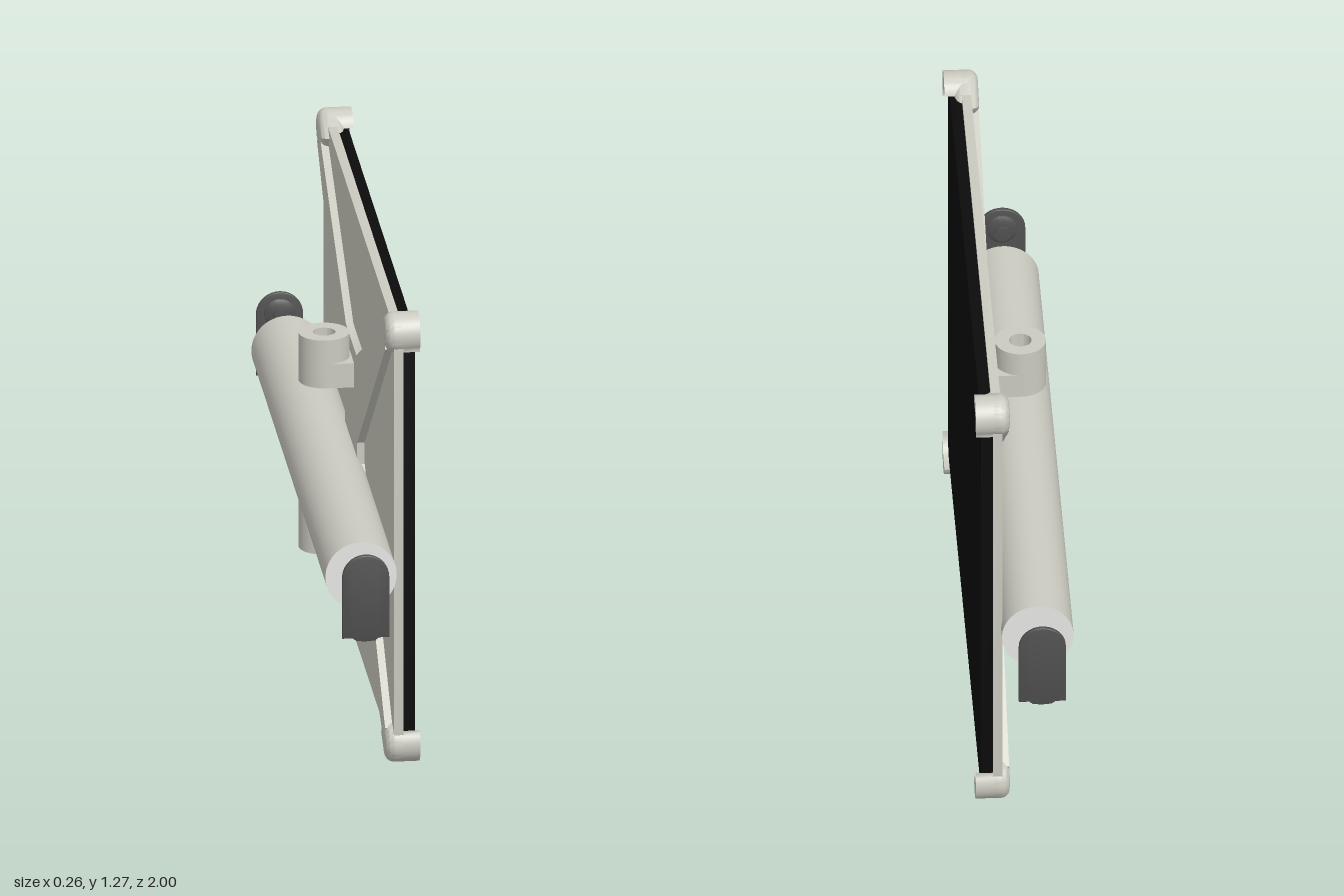
import * as THREE from 'three';
import { toCreasedNormals } from 'three/addons/utils/BufferGeometryUtils.js';

const mat = (name, color, side = THREE.FrontSide) => {
  const m = new THREE.MeshStandardMaterial({ color, side });
  m.name = name;
  return m;
};
const cream = mat('cream plastic', 0xcacac0);
const black = mat('black glass', 0x0b0b0b);
const dark = mat('dark grey', 0x505050);
const white = mat('white cap', 0xf6f6f4);

const CY = 0.65, CZ = -0.01; // middle of the tablet
const TX = -0.037; // axis of the tube and bosses

const add = (parent, name, geo, material) => {
  const m = new THREE.Mesh(geo, material);
  m.name = name;
  parent.add(m);
  return m;
};

const extrude = (shape, depth, bevel = 0) => toCreasedNormals(new THREE.ExtrudeGeometry(shape, {
  depth: depth - 2 * bevel, curveSegments: 20, bevelEnabled: bevel > 0,
  bevelSize: bevel, bevelThickness: bevel, bevelOffset: -bevel, bevelSegments: 6,
}).translate(0, 0, bevel), 0.6);

// Extrudes an upright outline along x, from x0 to x1
const slab = (shape, x0, x1, bevel = 0) =>
  extrude(shape, x1 - x0, bevel).rotateY(Math.PI / 2).translate(x0, CY, CZ);

const polygon = (pts) => new THREE.Shape(pts.map(([u, v]) => new THREE.Vector2(u, v)));

const arc = (cx, cy, r, a0, a1, n = 20) => Array.from({ length: n + 1 }, (_, i) => {
  const a = THREE.MathUtils.degToRad(a0 + (a1 - a0) * i / n);
  return [cx + r * Math.cos(a), cy + r * Math.sin(a)];
});

const roundedRect = (w, h, r) => polygon([
  ...arc(w - r, h - r, r, 0, 90, 10), ...arc(r - w, h - r, r, 90, 180, 10),
  ...arc(r - w, r - h, r, 180, 270, 10), ...arc(w - r, r - h, r, 270, 360, 10),
]);

function createTablet() {
  const g = new THREE.Group();
  g.name = 'tabletHolder';
  add(g, 'backPlate', slab(roundedRect(0.815, 0.605, 0.065), 0.055, 0.08), cream);
  add(g, 'screen', slab(roundedRect(0.812, 0.593, 0.06), 0.08, 0.111), black);

  // Raised cross on the back, wide at the hub and narrow at the corners
  const q = [[0.14, 0.03], [0.785, 0.535], [0.755, 0.59], [0.12, 0.27]];
  const flip = (pts, su, sv) => pts.map(([u, v]) => [u * su, v * sv]);
  const r = [...q].reverse();
  add(g, 'backCross', slab(polygon([
    ...q, ...flip(r, -1, 1), ...flip(q, -1, -1), ...flip(r, 1, -1),
  ]), 0.035, 0.06), cream);

  // Corner clips: rounded backing and a crescent wall round the tablet corner
  const backing = [...arc(0.77, 0.578, 0.055, -60, 110), [0.67, 0.585], [0.7, 0.54], [0.75, 0.52]];
  const wall = [...arc(0.77, 0.578, 0.055, -40, 162), ...arc(0.752, 0.535, 0.06, 90, 0, 10)];
  for (const su of [-1, 1]) for (const sv of [-1, 1]) {
    const clip = new THREE.Group();
    clip.name = 'cornerClip';
    add(clip, 'clipBacking', slab(polygon(flip(backing, su, sv)), 0.034, 0.1, 0.025), cream);
    add(clip, 'clipWall', slab(polygon(flip(wall, su, sv)), 0.06, 0.125), cream);
    g.add(clip);
  }
  return g;
}

// Round boss with a bore; half its height is squared off towards the plate
function createBoss(y0, blockY) {
  const g = new THREE.Group();
  g.name = 'mountBoss';
  const ring = new THREE.Shape().absarc(0, 0, 0.068, 0, Math.PI * 2);
  ring.holes.push(new THREE.Path().absarc(0, 0, 0.03, 0, Math.PI * 2, true));
  add(g, 'bossRing', extrude(ring, 0.135).rotateX(-Math.PI / 2).translate(TX, y0, CZ), cream);

  const block = new THREE.Shape();
  block.moveTo(0, -0.068);
  block.lineTo(0.075, -0.068);
  block.lineTo(0.075, 0.068);
  block.lineTo(0, 0.068);
  block.absarc(0, 0, 0.068, Math.PI / 2, -Math.PI / 2, true);
  add(g, 'bossBlock', extrude(block, 0.068).rotateX(-Math.PI / 2).translate(TX, blockY, CZ), cream);
  return g;
}

function createTube() {
  const g = new THREE.Group();
  g.name = 'tube';
  add(g, 'tubeWall', new THREE.CylinderGeometry(0.095, 0.095, 1.71, 64, 1, true).rotateX(Math.PI / 2), cream);
  for (const s of [-1, 1]) {
    const cap = add(g, 'tubeCap', new THREE.CircleGeometry(0.095, 64), white);
    cap.position.z = s * 0.855;
    if (s < 0) cap.rotation.y = Math.PI;
  }
  g.position.set(TX, 0.575, CZ);
  return g;
}

// End tab: thin round-topped plate with a stepped knob on its inner face
function createTab(side) {
  const g = new THREE.Group();
  g.name = 'endTab';
  const plate = polygon([
    ...arc(0, 0.627, 0.0625, 0, 180), [-0.0625, 0.457], [-0.035, 0.457],
    [-0.025, 0.449], [0, 0.447], [0.025, 0.449], [0.035, 0.457], [0.0625, 0.457],
  ]);
  add(g, 'tabPlate', extrude(plate, 0.012, 0.002).translate(0, 0, 0.988), dark);
  const knob = [[0, 0.99], [0.042, 0.99], [0.042, 0.984], [0.03, 0.978], [0.011, 0.978],
    [0.011, 0.968], [0.021, 0.966], [0.021, 0.957], [0, 0.955]];
  const profile = knob.map(([r, z]) => new THREE.Vector2(r, 1 - z));
  add(g, 'tabKnob', toCreasedNormals(new THREE.LatheGeometry(profile, 32), 0.5)
    .rotateX(-Math.PI / 2).translate(0, 0.63, 1), mat2);
  g.position.x = -0.042;
  if (side < 0) g.rotation.y = Math.PI;
  return g;
}
const mat2 = mat('dark grey knob', 0x505050, THREE.DoubleSide);

export function createModel() {
  const model = new THREE.Group();
  model.name = 'tabletMount';
  model.add(createTablet());
  model.add(createBoss(0.81, 0.81), createBoss(0.34, 0.407));
  model.add(createTube());
  model.add(createTab(1), createTab(-1));
  return model;
}
